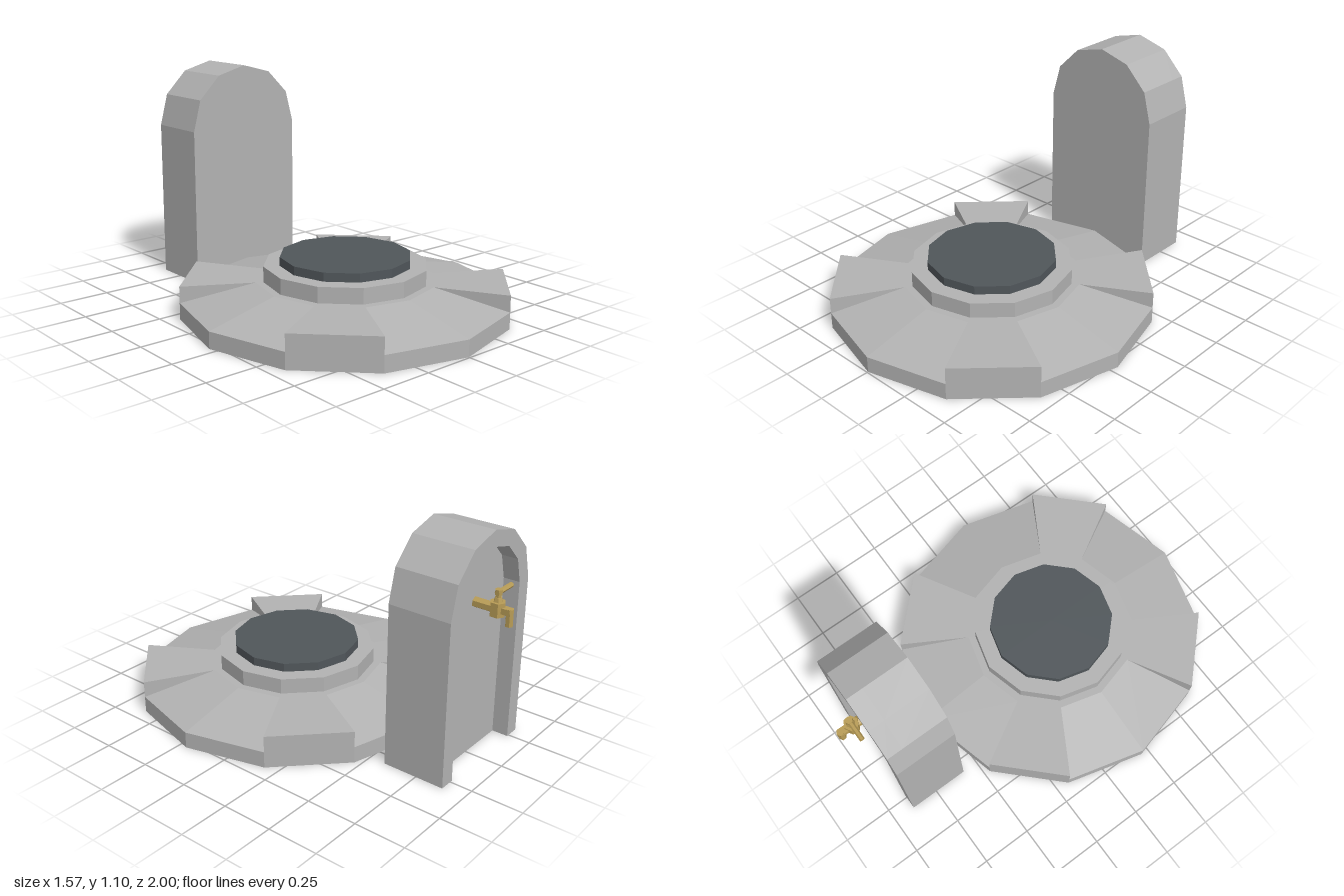
import * as THREE from 'three';

const stone = new THREE.MeshStandardMaterial({ color: 0xb2b2b2 });
stone.name = 'stone grey';
const slate = new THREE.MeshStandardMaterial({ color: 0x50565a });
slate.name = 'dark slate';
const brass = new THREE.MeshStandardMaterial({ color: 0xb89c56 });
brass.name = 'brass';

const CZ = 0.21; // centre of the round platform

function mesh(name, geometry, material, x = 0, y = 0, z = 0) {
  const m = new THREE.Mesh(geometry, material);
  m.name = name;
  m.position.set(x, y, z);
  return m;
}

// Faceted prism
function prism(rTop, rBottom, height, sides) {
  const g = new THREE.CylinderGeometry(rTop, rBottom, height, sides).toNonIndexed();
  g.computeVertexNormals();
  return g;
}

// Twelve-sided platform: sloping segments with four raised, level ones
function platformGeometry() {
  const R = 0.785, r = 0.43, low = 0.08, high = 0.16;
  const pos = [];
  const face = (...p) => {
    for (let i = 1; i < p.length - 1; i++) pos.push(...p[0], ...p[i], ...p[i + 1]);
  };
  for (let i = 0; i < 12; i++) {
    const at = (radius, k, y) => {
      const a = ((i + k) * Math.PI) / 6;
      return [radius * Math.cos(a), y, CZ + radius * Math.sin(a)];
    };
    const raised = i % 3 === 1;
    const h = raised ? high : low;
    face(at(R, 0, 0), at(R, 0, h), at(R, 1, h), at(R, 1, 0)); // rim
    face(at(r, 0, high), at(r, 1, high), at(R, 1, h), at(R, 0, h)); // top
    face([0, high, CZ], at(r, 1, high), at(r, 0, high)); // inner floor
    face([0, 0, CZ], at(R, 0, 0), at(R, 1, 0)); // underside
    if (raised) { // wedge-shaped side walls
      face(at(r, 0, high), at(R, 0, high), at(R, 0, low));
      face(at(R, 1, low), at(R, 1, high), at(r, 1, high));
    }
  }
  const g = new THREE.BufferGeometry();
  g.setAttribute('position', new THREE.Float32BufferAttribute(pos, 3));
  g.computeVertexNormals();
  return g;
}

// Arch outline from right foot over the top to left foot
function archPoints(radius) {
  const pts = [new THREE.Vector2(radius, 0)];
  for (let i = 0; i <= 6; i++) {
    const a = (i * Math.PI) / 6;
    pts.push(new THREE.Vector2(radius * Math.cos(a), 0.79 + radius * Math.sin(a)));
  }
  pts.push(new THREE.Vector2(-radius, 0));
  return pts;
}

function extrude(points, depth) {
  return new THREE.ExtrudeGeometry(new THREE.Shape(points), { depth, bevelEnabled: false });
}

function createTap() {
  const tap = new THREE.Group();
  tap.name = 'tap';
  const pipe = mesh('tapPipe', prism(0.025, 0.025, 0.11, 6), brass, 0, 0.757, -0.865);
  pipe.rotation.x = Math.PI / 2;
  const neck = mesh('tapNeck', new THREE.BoxGeometry(0.035, 0.028, 0.05), brass, 0, 0.757, -0.965);
  const spout = mesh('tapSpout', prism(0.018, 0.018, 0.08, 6), brass, 0, 0.732, -0.982);
  const lever = mesh('tapLever', prism(0.012, 0.012, 0.12, 6), brass, -0.045, 0.832, -0.923);
  lever.rotation.z = Math.PI / 2;
  tap.add(
    pipe, neck, spout, lever,
    mesh('tapBody', prism(0.036, 0.036, 0.065, 6), brass, 0, 0.758, -0.922),
    mesh('tapCollar', prism(0.016, 0.022, 0.02, 6), brass, 0, 0.8, -0.923),
    mesh('tapStem', prism(0.012, 0.012, 0.04, 6), brass, 0, 0.82, -0.923),
    mesh('tapKnob', prism(0.018, 0.018, 0.025, 6), brass, 0, 0.834, -0.923),
  );
  return tap;
}

export function createModel() {
  const model = new THREE.Group();
  model.name = 'stoneWellWithTap';

  // Round platform, collar and dark lid
  model.add(
    mesh('platform', platformGeometry(), stone),
    mesh('collar', prism(0.393, 0.393, 0.085, 12), stone, 0, 0.1935, CZ),
    mesh('lid', prism(0.315, 0.315, 0.05, 12), slate, 0, 0.253, CZ),
  );

  // Arched slab with a raised frame around its hollow back
  const outer = archPoints(0.314);
  const inner = archPoints(0.238).reverse();
  model.add(
    mesh('archSlab', extrude(outer, 0.23), stone, 0, 0, -0.81),
    mesh('archFrame', extrude([...outer, ...inner], 0.08), stone, 0, 0, -0.89),
  );

  model.add(createTap());
  return model;
}
